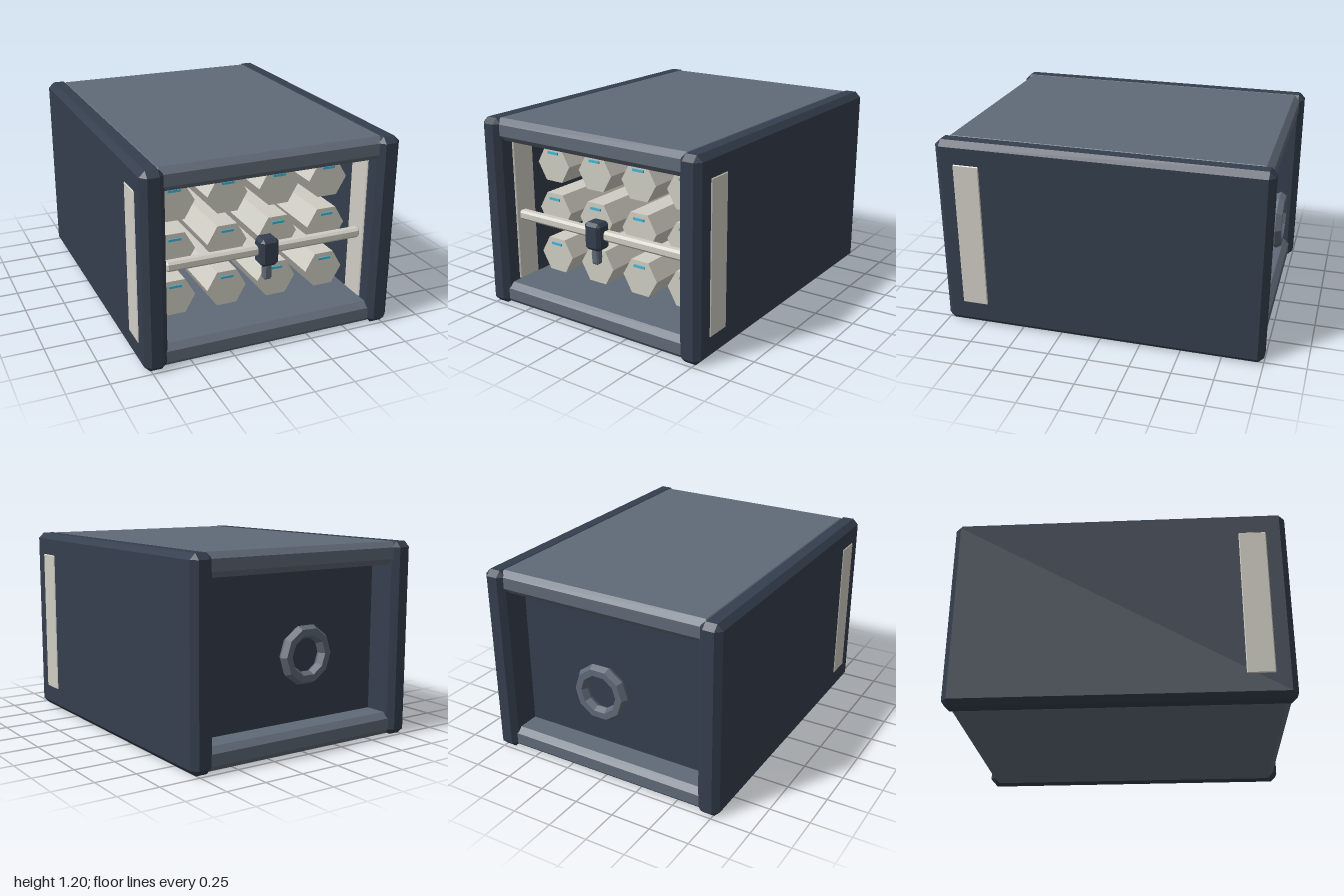
import * as THREE from 'three';
import { ConvexGeometry } from 'three/addons/geometries/ConvexGeometry.js';

const mat = (color) => new THREE.MeshStandardMaterial({ color, flatShading: true });

// Box with every edge cut by a flat chamfer c.
function chamferBox(w, h, d, c) {
  const pts = [];
  for (const sx of [-1, 1]) for (const sy of [-1, 1]) for (const sz of [-1, 1]) {
    const x = w / 2, y = h / 2, z = d / 2;
    pts.push(
      new THREE.Vector3(sx * x, sy * (y - c), sz * (z - c)),
      new THREE.Vector3(sx * (x - c), sy * y, sz * (z - c)),
      new THREE.Vector3(sx * (x - c), sy * (y - c), sz * z)
    );
  }
  return new ConvexGeometry(pts);
}

export function createModel() {
  const group = new THREE.Group();
  const navy = mat(0x343e4d), steel = mat(0x606a77), ivory = mat(0xcfcdc3), cyan = mat(0x45b4d6);

  function add(name, geometry, material, x, y, z, parent = group) {
    const mesh = new THREE.Mesh(geometry, material);
    mesh.name = name;
    mesh.position.set(x, y, z);
    parent.add(mesh);
    return mesh;
  }

  // Casing: side walls with an ivory strip let through each one
  const sideGeo = chamferBox(0.14, 1.2, 2, 0.035);
  const stripGeo = chamferBox(0.155, 0.92, 0.165, 0.006);
  for (const s of [1, -1]) {
    const label = s > 0 ? 'left' : 'right';
    add(label + 'Wall', sideGeo, navy, s * 0.72, 0.6, 0);
    add(label + 'Strip', stripGeo, ivory, s * 0.7175, 0.602, 0.8);
  }

  // Casing: roof, floor and recessed back wall
  const slabGeo = chamferBox(1.42, 0.14, 1.945, 0.035);
  add('roof', slabGeo, steel, 0, 1.13, 0);
  add('floor', slabGeo, steel, 0, 0.07, 0);
  add('backWall', new THREE.BoxGeometry(1.34, 0.98, 0.08), navy, 0, 0.6, -0.76);

  // Ring at the back
  add('rearRing', new THREE.TorusGeometry(0.14, 0.04, 6, 10), steel, 0, 0.58, -0.953);

  // Hexagonal cells, each with a small indicator light
  const cells = new THREE.Group();
  cells.name = 'cells';
  group.add(cells);
  const front = 0.69, length = front + 0.73;
  const cellGeo = new THREE.CylinderGeometry(0.126, 0.126, length, 6);
  cellGeo.rotateY(Math.PI / 6).rotateX(Math.PI / 2);
  const lightGeo = new THREE.BoxGeometry(0.08, 0.015, 0.012);
  for (const y of [0.28, 0.58, 0.88]) {
    for (const x of [-0.495, -0.165, 0.165, 0.495]) {
      add('cell', cellGeo, ivory, x, y - 0.003, front - length / 2, cells);
      add('cellLight', lightGeo, cyan, x, y + 0.07, front + 0.002, cells);
    }
  }

  // Locking bar with central latch and pull
  const lock = new THREE.Group();
  lock.name = 'lock';
  group.add(lock);
  add('lockingBar', chamferBox(1.24, 0.06, 0.06, 0.014), ivory, 0, 0.58, 0.86, lock);
  add('latch', chamferBox(0.115, 0.17, 0.11, 0.02), navy, 0, 0.577, 0.88, lock);
  add('latchPull', chamferBox(0.05, 0.13, 0.05, 0.01), steel, 0, 0.463, 0.885, lock);

  return group;
}
